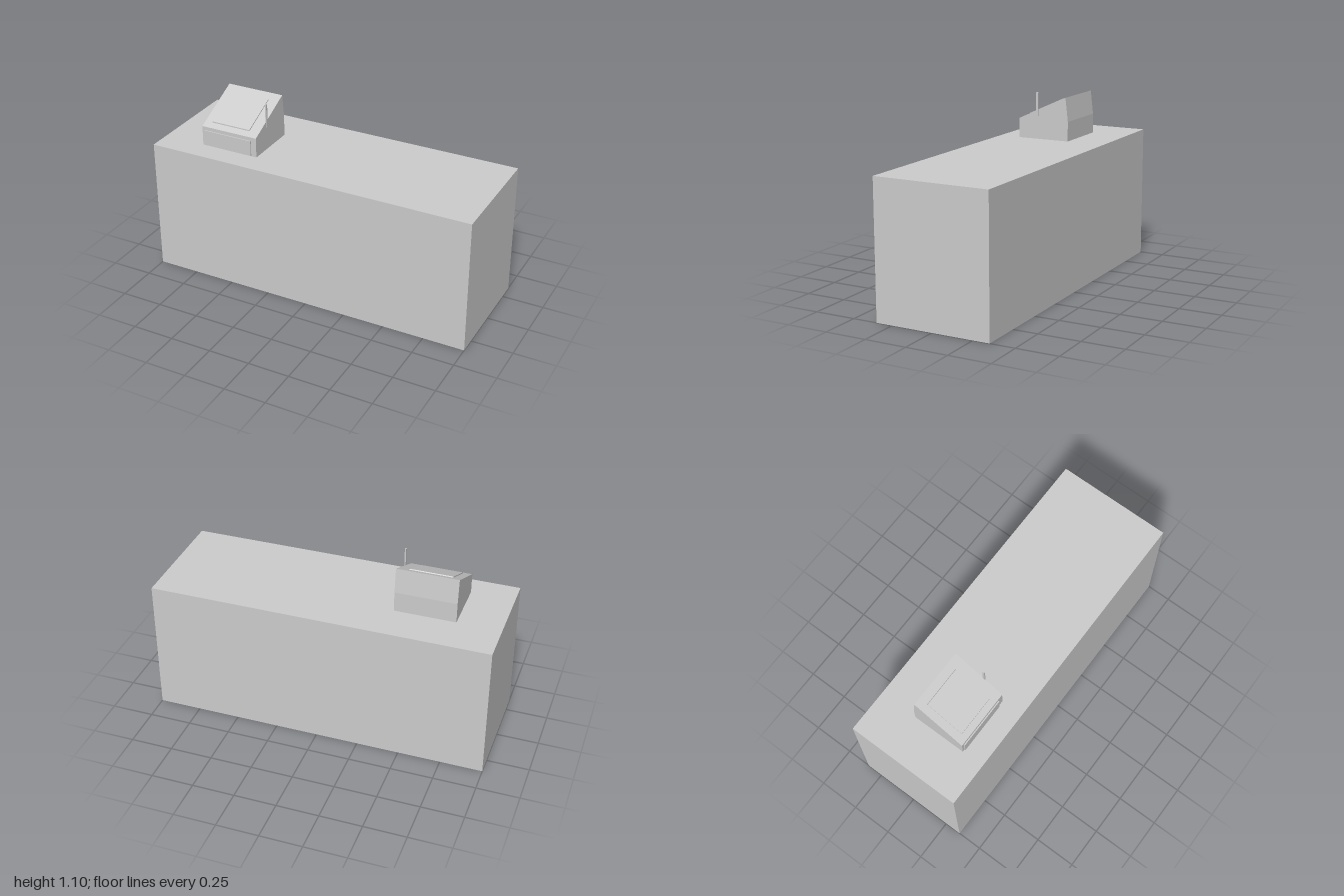
import * as THREE from 'three';

const material = new THREE.MeshStandardMaterial({ color: 0xcccccc, flatShading: true });

// Box given by its extents on each axis
function box(name, [x0, x1], [y0, y1], [z0, z1]) {
  const mesh = new THREE.Mesh(new THREE.BoxGeometry(x1 - x0, y1 - y0, z1 - z0), material);
  mesh.position.set((x0 + x1) / 2, (y0 + y1) / 2, (z0 + z1) / 2);
  mesh.name = name;
  return mesh;
}

// Side profile of [z, y] points, extruded from x0 to x1
function profile(name, points, x0, x1) {
  const shape = new THREE.Shape(points.map(([z, y]) => new THREE.Vector2(z, y)));
  const geometry = new THREE.ExtrudeGeometry(shape, { depth: x1 - x0, bevelEnabled: false });
  geometry.rotateY(-Math.PI / 2);
  geometry.translate(x1, 0, 0);
  const mesh = new THREE.Mesh(geometry, material);
  mesh.name = name;
  return mesh;
}

export function createModel() {
  const model = new THREE.Group();
  model.name = 'checkoutCounter';

  // Solid counter block
  model.add(box('counter', [-1, 1], [0, 0.81], [-0.35, 0.35]));

  // Cash register with sloping top
  const register = new THREE.Group();
  register.name = 'cashRegister';
  register.add(
    profile('registerBody', [
      [0.215, 0.81], [0.215, 0.93], [-0.097, 1.075], [-0.114, 0.93], [-0.114, 0.81],
    ], -0.742, -0.382),
    // Thin key panel lying on the slope
    profile('keyPanel', [
      [0.178, 0.943], [0.178, 0.954], [-0.045, 1.057], [-0.052, 1.05],
    ], -0.695, -0.446),
    box('cashDrawer', [-0.727, -0.416], [0.814, 0.908], [0.2, 0.222]),
    // Upright card reader strip on the side
    box('cardReader', [-0.385, -0.377], [0.951, 1.096], [0.086, 0.098]),
  );
  model.add(register);
  return model;
}
